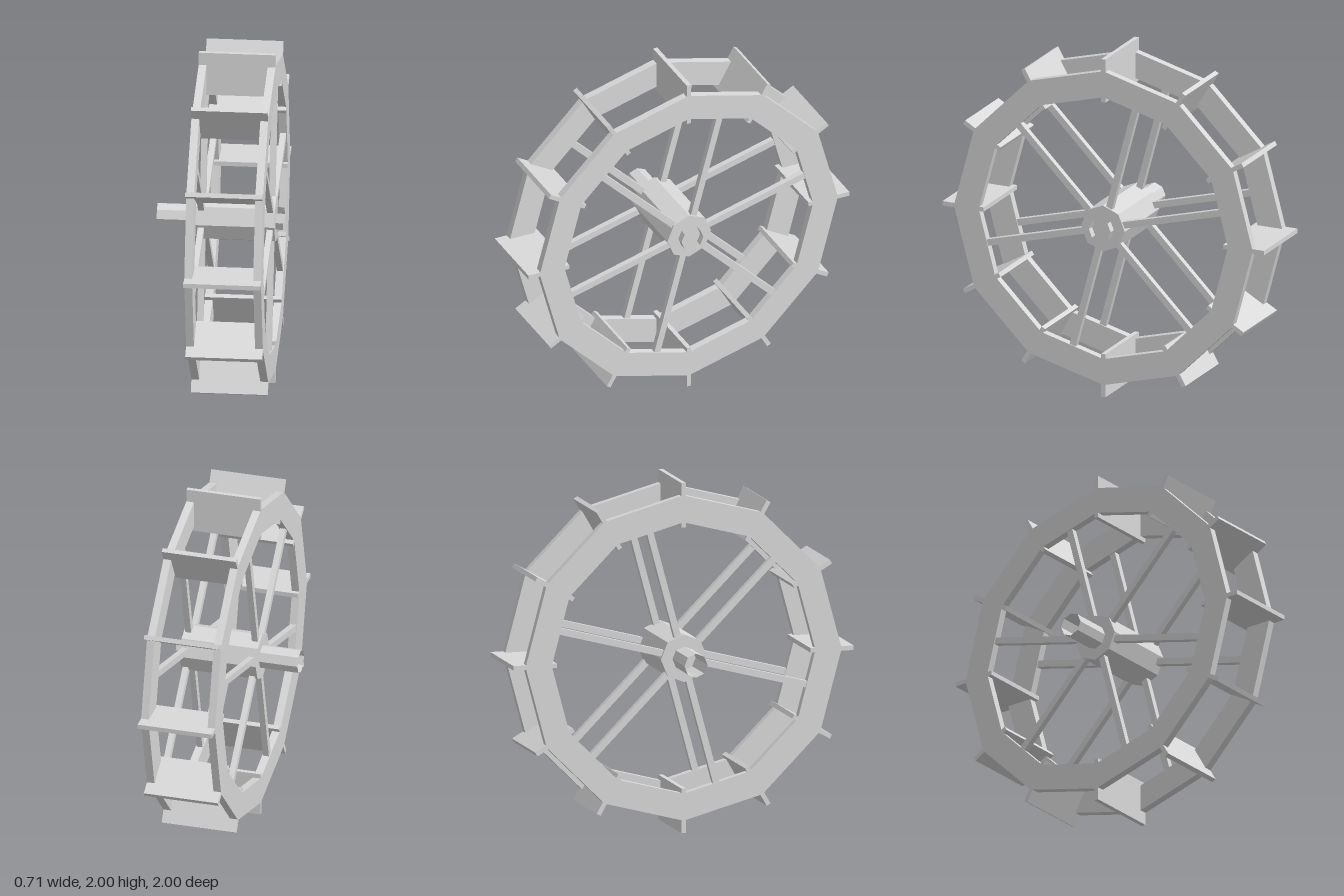
import * as THREE from 'three';

export function createModel() {
  const wheel = new THREE.Group();
  wheel.name = 'waterWheel';
  const plain = new THREE.MeshStandardMaterial({ color: 0xd9d9d9 });
  plain.name = 'plain grey';
  plain.flatShading = true;
  const openGrey = plain.clone();
  openGrey.name = 'plain grey open';
  openGrey.side = THREE.DoubleSide;

  const X0 = -0.123, X1 = 0.309, RIM = 0.044, MID = (X0 + X1) / 2;

  const add = (name, geometry, material = plain) => {
    const mesh = new THREE.Mesh(geometry, material);
    mesh.name = name;
    wheel.add(mesh);
  };
  // Regular polygon with a corner at the top, counter-clockwise
  const polygon = (n, r) => Array.from({ length: n }, (_, i) => {
    const a = (i / n) * Math.PI * 2;
    return new THREE.Vector2(-Math.sin(a) * r, Math.cos(a) * r);
  });
  // Box standing out from the axle at an angle measured from straight up
  const radialBox = (name, x, width, r0, r1, thick, angle) => {
    const g = new THREE.BoxGeometry(width, r1 - r0, thick);
    g.translate(x, (r0 + r1) / 2, 0).rotateX(angle);
    g.translate(0, 1, 0);
    add(name, g);
  };

  // Two twelve-sided rims, each with six spokes
  for (const [side, x] of [['right', X0], ['left', X1 - RIM]]) {
    const shape = new THREE.Shape(polygon(12, 0.929));
    shape.holes.push(new THREE.Path(polygon(12, 0.775)));
    const rim = new THREE.ExtrudeGeometry(shape, { depth: RIM, bevelEnabled: false });
    rim.rotateY(Math.PI / 2).translate(x, 1, 0);
    add(side + 'Rim', rim);
    for (let i = 0; i < 6; i++) {
      const angle = -Math.PI / 12 - (i * Math.PI) / 3;
      radialBox(side + 'Spoke' + i, x + RIM / 2, 0.034, 0.1, 0.755, 0.038, angle);
    }
  }

  // Paddles at the rim corners
  for (let i = 0; i < 12; i++) {
    radialBox('paddle' + i, MID, X1 - X0, 0.745, 1, 0.026, (i * Math.PI) / 6);
  }

  // Eight-sided hub
  const hub = new THREE.CylinderGeometry(0.136, 0.136, 0.445, 8);
  hub.rotateZ(Math.PI / 2).translate(0.0915, 1, 0);
  add('hub', hub);

  // Open hollow axle on one end
  const axle = new THREE.CylinderGeometry(0.068, 0.068, 0.23, 8, 1, true);
  axle.rotateZ(Math.PI / 2).translate(-0.24, 1, 0);
  add('axle', axle, openGrey);

  // Two bent prongs on the other end
  for (const s of [1, -1]) {
    const start = s > 0 ? -Math.PI / 4 : (Math.PI * 3) / 4;
    const prong = new THREE.CylinderGeometry(0.068, 0.068, 0.045, 2, 1, true, start, Math.PI / 2);
    prong.rotateZ(Math.PI / 2).translate(0.3325, 1, 0);
    add(s > 0 ? 'frontProng' : 'backProng', prong, openGrey);
  }
  return wheel;
}
